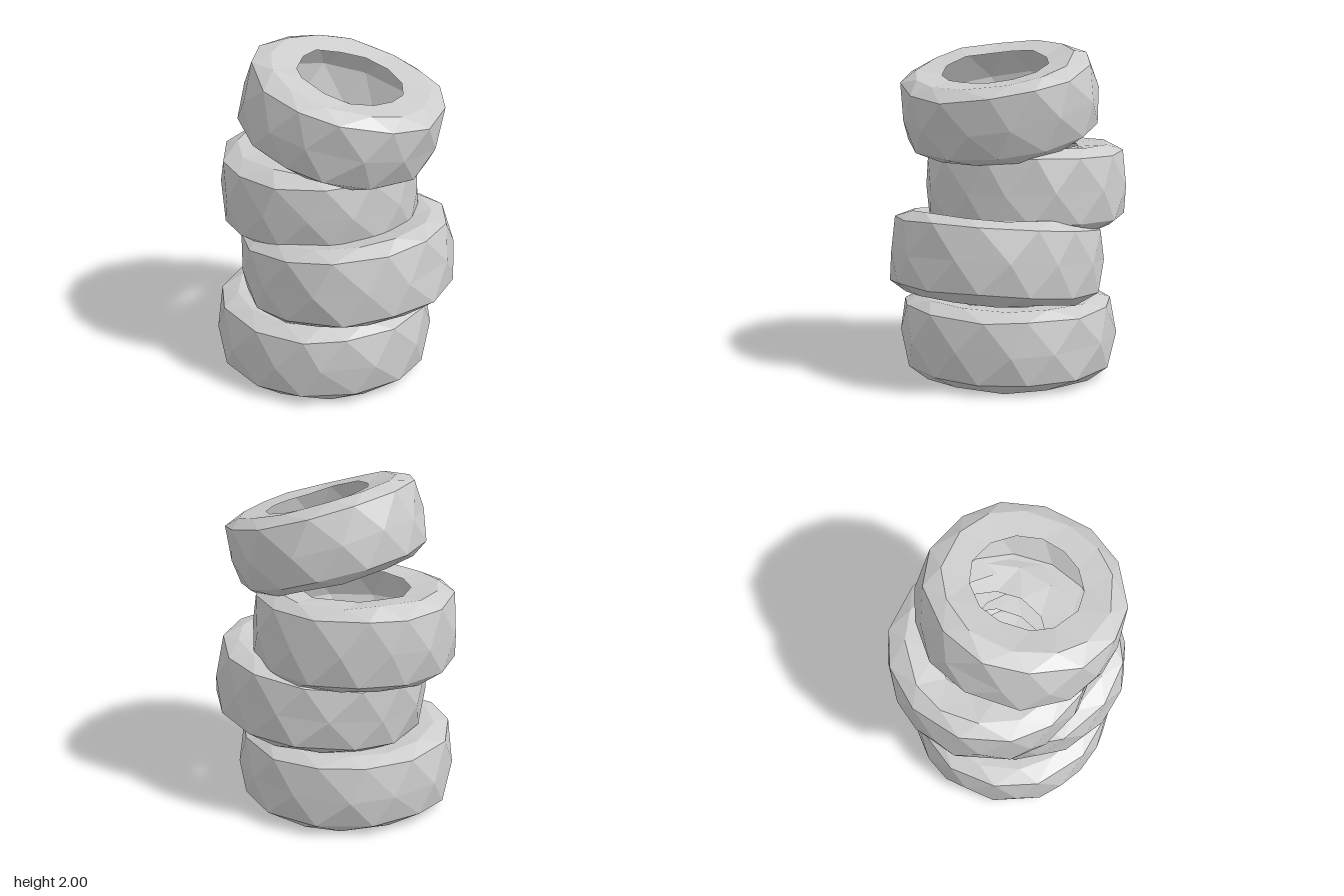
import * as THREE from 'three';

const SIDES = 13;

// Closed cross-section of a hollow tyre: [fraction of radius, fraction of half width]
const PROFILE = [
  [0.85, -1], [0.985, -0.75], [1.01, 0], [0.975, 0.8], [0.82, 1], // outer shell
  [0.54, 0.93], [0.82, 0.87], [0.95, 0], [0.84, -0.88], [0.64, -0.93], // rims and cavity
];

function seededRandom(seed) {
  let s = seed;
  return () => {
    s = (s * 16807) % 2147483647;
    return s / 2147483647 - 0.5;
  };
}

// Faceted ring with every other row shifted half a step, slightly dented
function tyreGeometry(radius, halfWidth, seed) {
  const rand = seededRandom(seed);
  const rows = PROFILE.length;
  const positions = [];
  const indices = [];
  PROFILE.forEach(([r, h], j) => {
    for (let i = 0; i < SIDES; i++) {
      const a = ((i + (j % 2) * 0.5 + rand() * 0.25) / SIDES) * Math.PI * 2;
      const rr = radius * (r + rand() * 0.025);
      const y = halfWidth * (h + rand() * 0.08);
      positions.push(Math.cos(a) * rr, y, -Math.sin(a) * rr);
    }
  });
  for (let j = 0; j < rows; j++) {
    const k = (j + 1) % rows;
    for (let i = 0; i < SIDES; i++) {
      const n = (i + 1) % SIDES;
      const a0 = j * SIDES + i, a1 = j * SIDES + n;
      const b0 = k * SIDES + i, b1 = k * SIDES + n;
      if (j % 2 === 0) indices.push(a0, a1, b0, a1, b1, b0);
      else indices.push(a0, b1, b0, a0, a1, b1);
    }
  }
  const indexed = new THREE.BufferGeometry();
  indexed.setAttribute('position', new THREE.Float32BufferAttribute(positions, 3));
  indexed.setIndex(indices);
  const geometry = indexed.toNonIndexed();
  geometry.computeVertexNormals();
  return geometry;
}

export function createModel() {
  const model = new THREE.Group();
  model.name = 'tyreStack';

  const rubber = new THREE.MeshStandardMaterial({ color: 0xcccccc, flatShading: true });
  rubber.name = 'grey rubber';

  // Tyres from the ground up: turn spins about the axle, lean tips about x and z
  const tyres = [
    { name: 'bottomTyre', radius: 0.65, half: 0.235, at: [-0.06, 0.243, 0.01], turn: 0, lean: [0, 0] },
    { name: 'lowerMiddleTyre', radius: 0.635, half: 0.238, at: [0.1, 0.735, -0.005], turn: 0.6, lean: [0, 0.115] },
    { name: 'upperMiddleTyre', radius: 0.6, half: 0.245, at: [-0.14, 1.135, -0.07], turn: 1.3, lean: [0.025, 0] },
    { name: 'topTyre', radius: 0.58, half: 0.225, at: [0.06, 1.648, 0], turn: 2.1, lean: [0, -0.275] },
  ];

  tyres.forEach(({ name, radius, half, at, turn, lean }, i) => {
    const geometry = tyreGeometry(radius, half, 4211 + i * 977);
    geometry.rotateY(turn);
    const tyre = new THREE.Mesh(geometry, rubber);
    tyre.name = name;
    tyre.position.set(...at);
    tyre.rotation.set(lean[0], 0, lean[1]);
    model.add(tyre);
  });

  return model;
}
